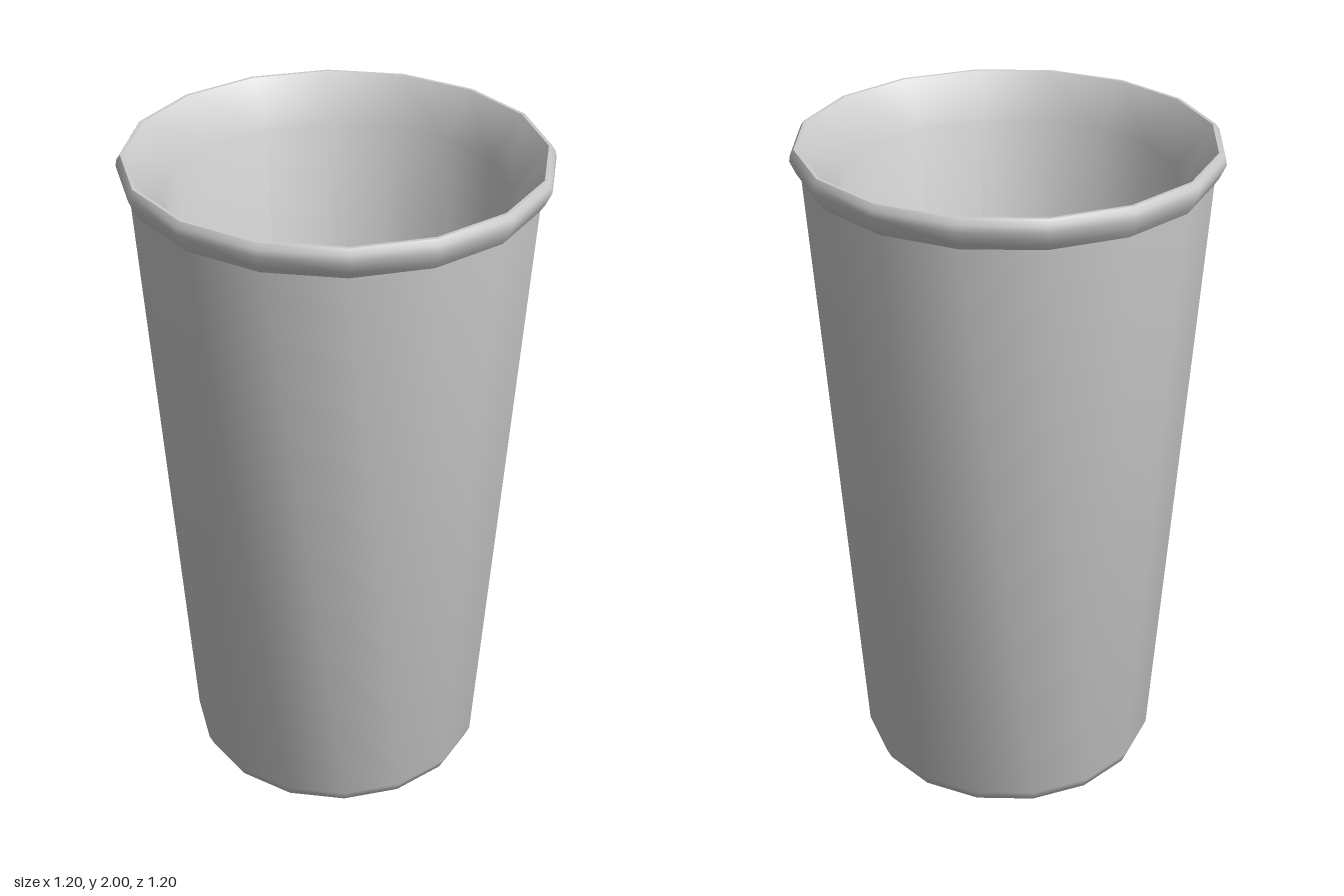
import * as THREE from 'three';
import { toCreasedNormals } from 'three/addons/utils/BufferGeometryUtils.js';

const SIDES = 16;
const material = new THREE.MeshStandardMaterial({ color: 0xcccccc });

// Revolves a [radius, height] profile; edges sharper than the crease angle stay hard
function revolve(name, profile) {
  const points = profile.map(([r, y]) => new THREE.Vector2(r, y));
  const geometry = toCreasedNormals(new THREE.LatheGeometry(points, SIDES), 0.8);
  const mesh = new THREE.Mesh(geometry, material);
  mesh.name = name;
  return mesh;
}

export function createModel() {
  const cup = new THREE.Group();
  cup.name = 'cup';

  // Flat base, rounded foot and tapered outer wall
  cup.add(revolve('outerWall', [
    [0, 0], [0.41, 0], [0.44, 0.015], [0.455, 0.05], [0.57, 1.91],
  ]));

  // Flared lip with a narrow flat top
  cup.add(revolve('rim', [
    [0.57, 1.91], [0.583, 1.93], [0.6, 1.967], [0.597, 1.985], [0.587, 2], [0.577, 2],
  ]));

  // Sloping mouth, inner wall and floor
  cup.add(revolve('interior', [
    [0.577, 2], [0.48, 1.88], [0.44, 0.06], [0, 0.06],
  ]));

  return cup;
}
